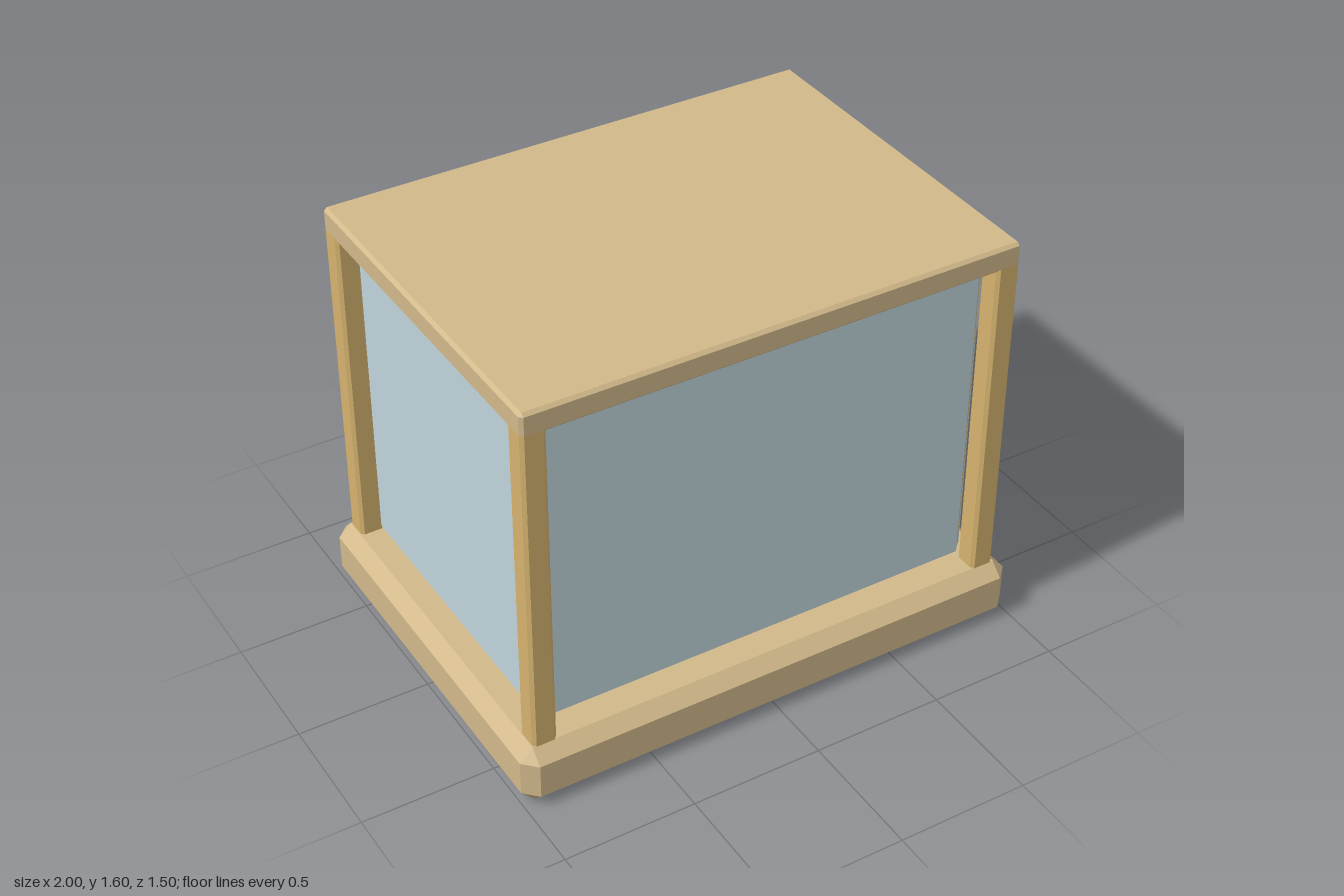
import * as THREE from 'three';
import { ConvexGeometry } from 'three/addons/geometries/ConvexGeometry.js';

// Box from y0 to y1 with half sizes hx, hz and every edge chamfered by b
function chamferBox(hx, y0, y1, hz, b) {
  const hy = (y1 - y0) / 2, cy = (y0 + y1) / 2, points = [];
  for (const x of [-1, 1]) for (const y of [-1, 1]) for (const z of [-1, 1]) {
    points.push(
      new THREE.Vector3(x * hx, cy + y * (hy - b), z * (hz - b)),
      new THREE.Vector3(x * (hx - b), cy + y * hy, z * (hz - b)),
      new THREE.Vector3(x * (hx - b), cy + y * (hy - b), z * hz)
    );
  }
  return new ConvexGeometry(points);
}

export function createModel() {
  const group = new THREE.Group();
  group.name = 'displayCase';

  const material = (name, color) => {
    const m = new THREE.MeshStandardMaterial({ color });
    m.name = name;
    return m;
  };
  const tan = material('tanWood', 0xd2b98b);
  const gold = material('goldenWood', 0xd6b36f);
  const glass = material('paleBlueGlass', 0xc0d5da);

  const add = (name, geometry, mat) => {
    const mesh = new THREE.Mesh(geometry, mat);
    mesh.name = name;
    group.add(mesh);
    return mesh;
  };

  // Plinth and roof slab
  add('base', chamferBox(1, 0, 0.235, 0.75, 0.05), tan);
  add('roof', chamferBox(0.947, 1.505, 1.6, 0.702, 0.012), tan);

  // Corner posts, flush with the roof
  for (const sx of [-1, 1]) for (const sz of [-1, 1]) {
    const post = add('cornerPost', chamferBox(0.046, 0.2, 1.529, 0.046, 0.012), gold);
    post.position.set(sx * 0.901, 0, sz * 0.656);
  }

  // Chamfered inner chamber with glazed sides
  const hx = 0.875, hz = 0.62, bevel = 0.035, y0 = 0.235, y1 = 1.505;
  add('chamberFrame', chamferBox(hx, y0, y1, hz, bevel), tan);
  const paneHeight = y1 - y0 - 2 * bevel, midY = (y0 + y1) / 2;
  for (const s of [-1, 1]) {
    const wide = new THREE.BoxGeometry(2 * (hx - bevel), paneHeight, 0.006);
    add(s > 0 ? 'frontPane' : 'backPane', wide, glass).position.set(0, midY, s * hz);
    const side = new THREE.BoxGeometry(0.006, paneHeight, 2 * (hz - bevel));
    add(s > 0 ? 'leftPane' : 'rightPane', side, glass).position.set(s * hx, midY, 0);
  }
  return group;
}
